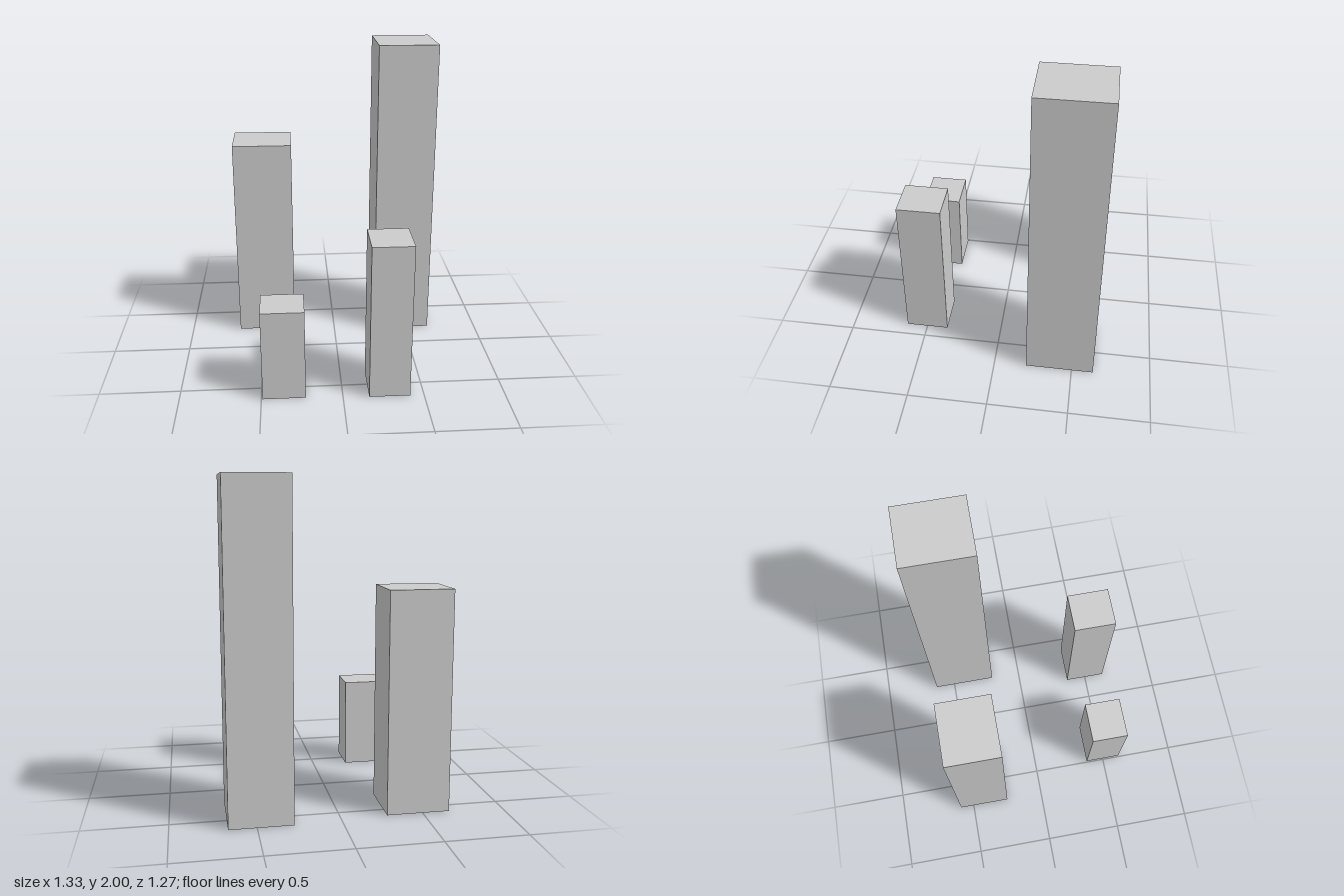
import * as THREE from 'three';

// Four plain towers: name, x range, z range, height
const TOWERS = [
  ['backLeftTower', 0.283, 0.666, -0.637, -0.206, 2.0],
  ['backRightTower', -0.666, -0.281, -0.592, -0.251, 1.35],
  ['frontLeftTower', 0.161, 0.414, 0.362, 0.637, 1.0],
  ['frontRightTower', -0.492, -0.228, 0.379, 0.619, 0.588],
];

export function createModel() {
  const group = new THREE.Group();
  group.name = 'towerCluster';
  const material = new THREE.MeshStandardMaterial({ color: 0xcccccc, flatShading: true });

  for (const [name, x0, x1, z0, z1, height] of TOWERS) {
    const tower = new THREE.Mesh(new THREE.BoxGeometry(x1 - x0, height, z1 - z0), material);
    tower.name = name;
    tower.position.set((x0 + x1) / 2, height / 2, (z0 + z1) / 2);
    group.add(tower);
  }
  return group;
}
